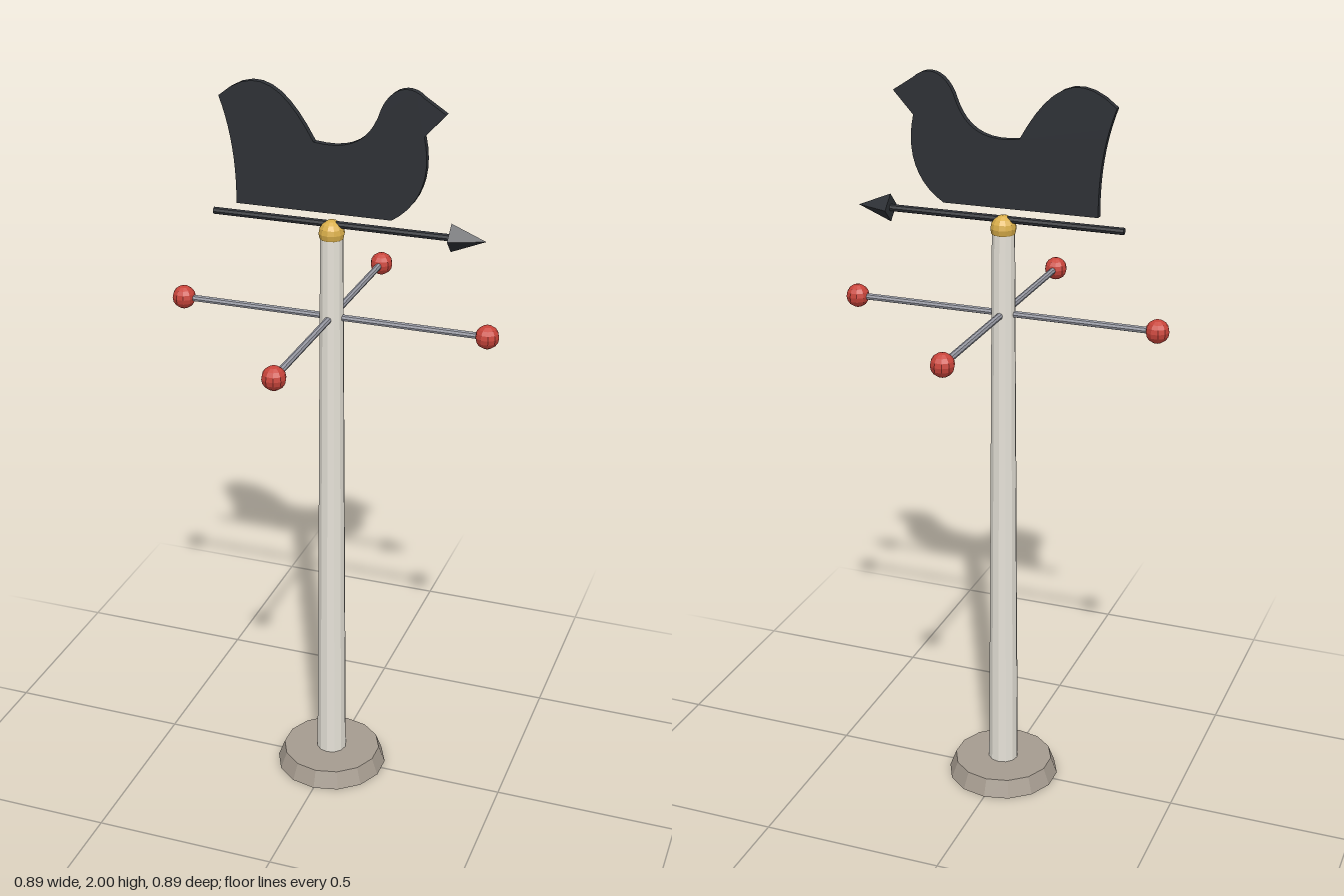
import * as THREE from 'three';

const mat = (color) => new THREE.MeshStandardMaterial({ color, flatShading: true });

export function createModel() {
  const group = new THREE.Group();
  const stone = mat(0xa69c90), paint = mat(0xe6e2d8), gold = mat(0xd9ae4a);
  const red = mat(0xc8443a), steel = mat(0x9a9ca6), iron = mat(0x2e3136);

  const add = (name, geometry, material, x = 0, y = 0, z = 0) => {
    const mesh = new THREE.Mesh(geometry, material);
    mesh.name = name;
    mesh.position.set(x, y, z);
    group.add(mesh);
    return mesh;
  };

  // Base and tapering pole
  add('base', new THREE.CylinderGeometry(0.137, 0.155, 0.048, 14), stone, 0, 0.024);
  add('pole', new THREE.CylinderGeometry(0.03, 0.042, 1.6, 12), paint, 0, 0.8);
  add('poleCap', new THREE.SphereGeometry(0.034, 12, 8), gold, 0, 1.612);

  // Crossed direction arms with a ball on each end
  const armY = 1.385, armReach = 0.414;
  add('armAcross', new THREE.CylinderGeometry(0.009, 0.009, armReach * 2, 8), steel, 0, armY).rotation.z = Math.PI / 2;
  add('armFrontBack', new THREE.CylinderGeometry(0.009, 0.009, armReach * 2, 8), steel, 0, armY).rotation.x = Math.PI / 2;
  for (const [x, z] of [[1, 0], [-1, 0], [0, 1], [0, -1]]) {
    add('armBall', new THREE.SphereGeometry(0.031, 10, 8), red, x * armReach, armY, z * armReach);
  }

  // Arrow: shaft and four-sided head
  add('arrowShaft', new THREE.CylinderGeometry(0.0095, 0.0095, 0.64, 8), iron, 0, 1.635).rotation.z = -Math.PI / 2;
  add('arrowHead', new THREE.ConeGeometry(0.037, 0.09, 4), iron, 0.357, 1.635).rotation.z = -Math.PI / 2;

  // Bird silhouette cut from flat plate
  const bird = new THREE.Shape();
  bird.moveTo(-0.254, 1.665);
  bird.lineTo(0.16, 1.665);
  bird.bezierCurveTo(0.235, 1.71, 0.262, 1.79, 0.24, 1.885);
  bird.lineTo(0.294, 1.944);
  bird.lineTo(0.238, 1.98);
  bird.bezierCurveTo(0.205, 2.012, 0.155, 2.002, 0.13, 1.945);
  bird.bezierCurveTo(0.105, 1.865, 0.055, 1.83, -0.045, 1.845);
  bird.bezierCurveTo(-0.115, 1.97, -0.19, 2.035, -0.296, 1.94);
  bird.quadraticCurveTo(-0.25, 1.82, -0.254, 1.665);
  add('bird', new THREE.ExtrudeGeometry(bird, { depth: 0.018, bevelEnabled: false, curveSegments: 10 }), iron, 0, 0, -0.009);

  return group;
}
